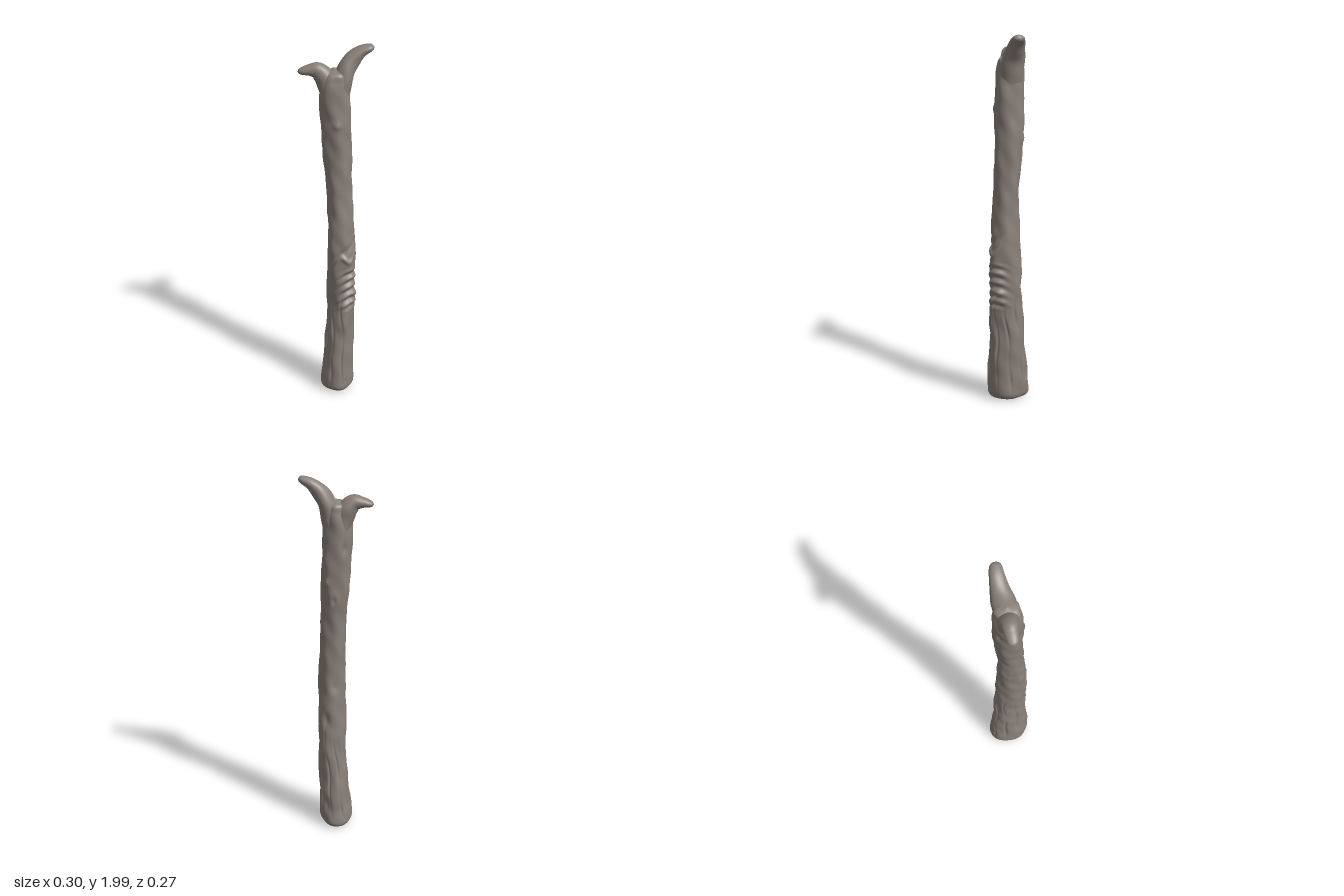
import * as THREE from 'three';

const SIDES = 112;
const S = Math.SQRT1_2;
const RAD = Math.PI / 180;

// Sections are [u, v, y, halfU, halfV]; u runs right-and-back, v right-and-front.
const TRUNK = [
  [0, 0.015, 0.008, 0.002, 0.002], [0, 0.018, 0.01, 0.055, 0.075], [0, 0.022, 0.03, 0.083, 0.108],
  [0.003, 0.025, 0.08, 0.087, 0.113], [0.01, 0.028, 0.2, 0.082, 0.105], [0.02, 0.033, 0.4, 0.075, 0.092],
  [0.024, 0.038, 0.55, 0.074, 0.088], [0.025, 0.042, 0.68, 0.074, 0.085], [0.026, 0.045, 0.8, 0.074, 0.083],
  [0.025, 0.045, 0.9, 0.071, 0.078], [0.021, 0.042, 1.0, 0.069, 0.074], [0.016, 0.033, 1.2, 0.066, 0.067],
  [0.007, 0.021, 1.4, 0.073, 0.072], [0, 0.016, 1.6, 0.077, 0.076], [-0.006, 0.013, 1.75, 0.075, 0.074],
  [-0.003, 0.012, 1.82, 0.066, 0.066], [0, 0.01, 1.86, 0.045, 0.055], [0, 0.01, 1.875, 0.002, 0.002],
];
const HIGH_FORK = [
  [0.01, 0.01, 1.68, 0.05, 0.055], [0.025, 0.01, 1.78, 0.052, 0.062], [0.05, 0.005, 1.865, 0.046, 0.058],
  [0.085, 0, 1.92, 0.041, 0.047], [0.125, 0, 1.957, 0.03, 0.038], [0.165, 0.005, 1.975, 0.021, 0.031],
  [0.184, 0.006, 1.979, 0.013, 0.019], [0.19, 0.006, 1.98, 0.001, 0.001],
];
const LOW_FORK = [
  [-0.01, 0.01, 1.68, 0.05, 0.055], [-0.03, 0.01, 1.77, 0.055, 0.062], [-0.055, 0, 1.83, 0.051, 0.055],
  [-0.09, -0.003, 1.864, 0.044, 0.042], [-0.13, -0.008, 1.868, 0.029, 0.034], [-0.165, -0.011, 1.863, 0.019, 0.027],
  [-0.181, -0.012, 1.86, 0.012, 0.017], [-0.188, -0.012, 1.859, 0.001, 0.001],
];

// Knots and dents: [angle, height, angular spread, height spread, depth]
const KNOTS = [
  [92, 1.6, 14, 0.02, 0.008], [270, 1.35, 10, 0.022, -0.01], [270, 1.35, 22, 0.04, 0.006],
  [235, 1.63, 11, 0.03, -0.009], [300, 1.45, 12, 0.02, 0.007], [200, 1.08, 12, 0.03, 0.006],
  [150, 1.0, 9, 0.05, -0.006], [255, 0.85, 14, 0.03, -0.006], [290, 0.65, 14, 0.04, -0.008],
  [240, 0.5, 14, 0.05, -0.008], [275, 0.3, 16, 0.05, -0.008], [300, 0.15, 14, 0.04, -0.008],
  [250, 0.12, 14, 0.04, -0.007], [35, 0.62, 14, 0.03, 0.008], [80, 0.45, 14, 0.05, 0.007],
];

const bump = (d, width) => Math.exp(-(d * d) / (width * width));
const angleGap = (a, b) => ((((a - b) / RAD + 540) % 360) + 360) % 360 - 180;

// Weathered wood: gentle lumps, grooves near the foot, gnawed ridges at mid height
function weathering(a, y) {
  let d = 0.0022 * Math.sin(3 * a + 7 * y) + 0.0018 * Math.sin(5 * a - 13 * y + 1)
    + 0.0018 * Math.sin(23 * y + 2 * a) + 0.001 * Math.sin(47 * y - 4 * a);
  const low = 1 - THREE.MathUtils.smoothstep(y, 0.35, 0.75);
  const foot = THREE.MathUtils.smoothstep(y, 0.04, 0.14);
  const groove = Math.max(0, Math.sin(9 * a + 1.2 * Math.sin(8 * y) + 0.6 * Math.sin(21 * y)));
  d -= 0.009 * low * foot * groove ** 6 * (0.6 + 0.4 * Math.sin(17 * y + 3 * a));
  const g = angleGap(a, 58 * RAD);
  const band = THREE.MathUtils.smoothstep(y, 0.52, 0.58) * (1 - THREE.MathUtils.smoothstep(y, 0.76, 0.81));
  d += 0.009 * band * bump(g, 42) * Math.sin((y / 0.052) * 2 * Math.PI + g * g * 0.0012 + g * 0.02);
  const h = angleGap(a, 80 * RAD);
  d += 0.011 * bump(h, 45) * bump(y - 0.85 - 0.03 * Math.sin(h * 0.07) + h * 0.0008, 0.017);
  d -= 0.008 * bump(h, 45) * bump(y - 0.895 + h * 0.0008, 0.02);
  for (const [ka, ky, wa, wy, depth] of KNOTS) d += depth * bump(angleGap(a, ka * RAD), wa) * bump(y - ky, wy);
  return d;
}

const softLumps = (a, y) => 0.0015 * Math.sin(3 * a + 30 * y) + 0.001 * Math.sin(2 * a - 55 * y);

// Smooth skin through the sections; leaning limbs turn their rings with the path
function loft(sections, rowsPer, relief, lean) {
  const path = new THREE.CatmullRomCurve3(sections.map(([u, v, y]) => new THREE.Vector3(u, y, v)), false, 'catmullrom', 0.5);
  const size = new THREE.CatmullRomCurve3(sections.map((s) => new THREE.Vector3(s[3], s[4], 0)), false, 'catmullrom', 0.5);
  const rows = (sections.length - 1) * rowsPer;
  const positions = [], index = [];
  for (let j = 0; j <= rows; j++) {
    const c = path.getPoint(j / rows), r = size.getPoint(j / rows);
    const t = lean ? path.getTangent(j / rows) : new THREE.Vector3(0, 1, 0);
    const len = Math.hypot(t.x, t.y);
    const fade = Math.min(1, Math.max(0, r.x) / 0.06);
    for (let i = 0; i < SIDES; i++) {
      const a = (i / SIDES) * Math.PI * 2;
      const d = relief(a, c.y) * fade;
      const n = (Math.max(r.x, 0.0005) + d) * Math.cos(a);
      const v = c.z + (Math.max(r.y, 0.0005) + d) * Math.sin(a);
      const u = c.x + (n * t.y) / len;
      positions.push((u + v) * S, Math.max(0, c.y - (n * t.x) / len), (v - u) * S);
      if (j < rows) {
        const k = (i + 1) % SIDES, p = j * SIDES, q = p + SIDES;
        index.push(p + i, q + i, p + k, p + k, q + i, q + k);
      }
    }
  }
  const geometry = new THREE.BufferGeometry();
  geometry.setAttribute('position', new THREE.Float32BufferAttribute(positions, 3));
  geometry.setIndex(index);
  geometry.computeVertexNormals();
  return geometry;
}

export function createModel() {
  const group = new THREE.Group();
  group.name = 'forkedPost';
  const wood = new THREE.MeshStandardMaterial({ color: 0x8a8079 });
  wood.name = 'weatheredWood';
  const add = (name, geometry) => {
    const mesh = new THREE.Mesh(geometry, wood);
    mesh.name = name;
    group.add(mesh);
  };
  add('trunk', loft(TRUNK, 22, weathering, false));
  add('highFork', loft(HIGH_FORK, 8, softLumps, true));
  add('lowFork', loft(LOW_FORK, 8, softLumps, true));
  return group;
}
